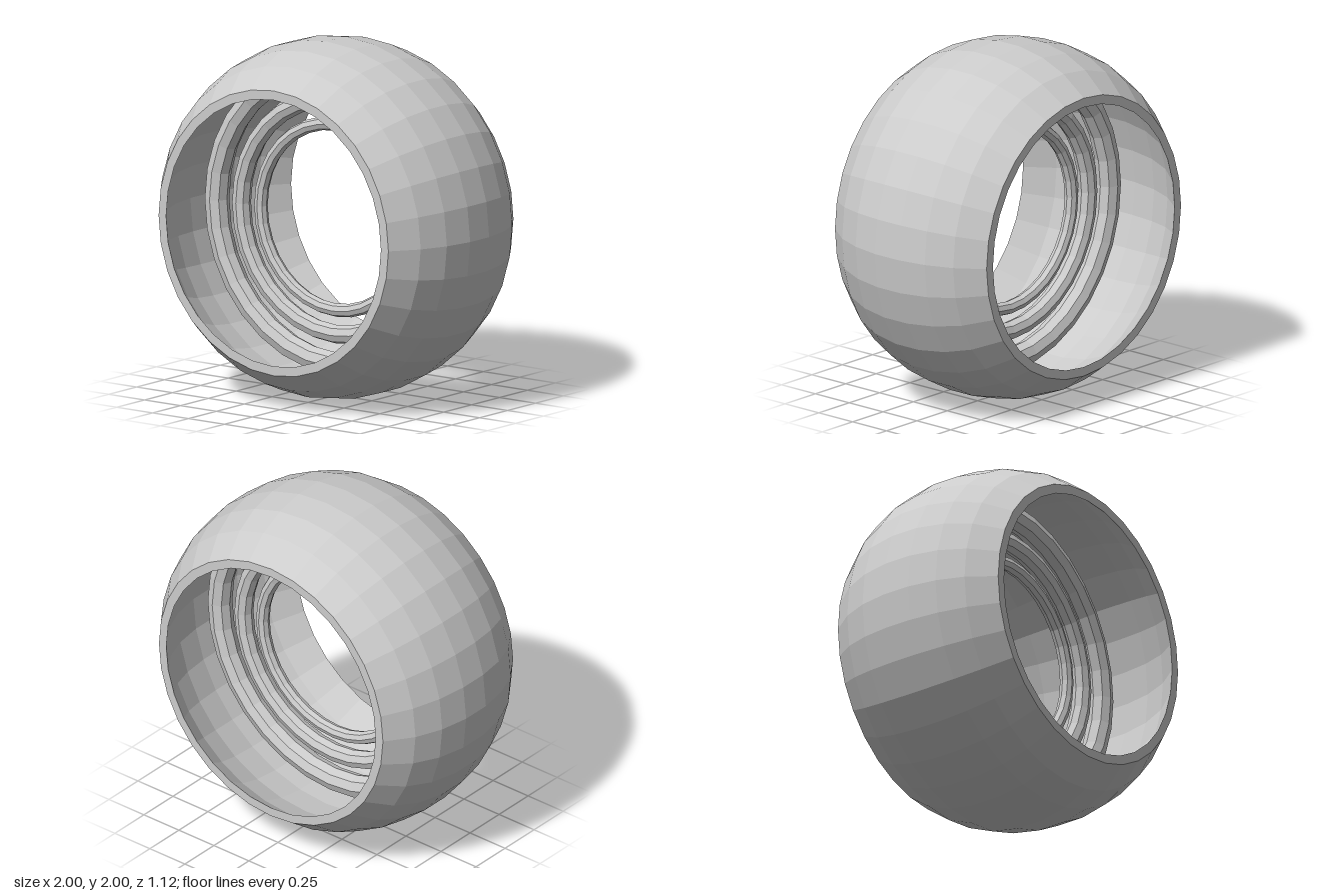
import * as THREE from 'three';

const SEGMENTS = 32;

export function createModel() {
  const model = new THREE.Group();
  const material = new THREE.MeshStandardMaterial({ color: 0xcccccc, flatShading: true });

  const add = (name, geometry) => {
    const mesh = new THREE.Mesh(geometry, material);
    mesh.name = name;
    mesh.position.y = 1;
    model.add(mesh);
  };

  // Outer shell: a hollow barrel-shaped band, open at front and back
  const half = [[1, 0.085], [0.97, 0.255], [0.908, 0.41], [0.8, 0.56]];
  const outer = [
    ...half.map(([r, z]) => [r, -z]).reverse(),
    ...half,
  ];
  const wall = 0.052;
  const inner = outer.map(([r, z]) => [r - wall, z]).reverse();
  const profile = [...outer, ...inner, outer[0]].map(([r, z]) => new THREE.Vector2(r, z));
  add('outerShell', new THREE.LatheGeometry(profile, SEGMENTS).rotateX(Math.PI / 2));

  // Three nested inner rings, thinner towards the middle: [name, ring radius, tube radius]
  const rings = [
    ['largeRing', 0.828, 0.068],
    ['middleRing', 0.6575, 0.0525],
    ['smallRing', 0.5225, 0.0375],
  ];
  for (const [name, radius, tube] of rings) {
    add(name, new THREE.TorusGeometry(radius, tube, 8, SEGMENTS));
  }

  return model;
}
